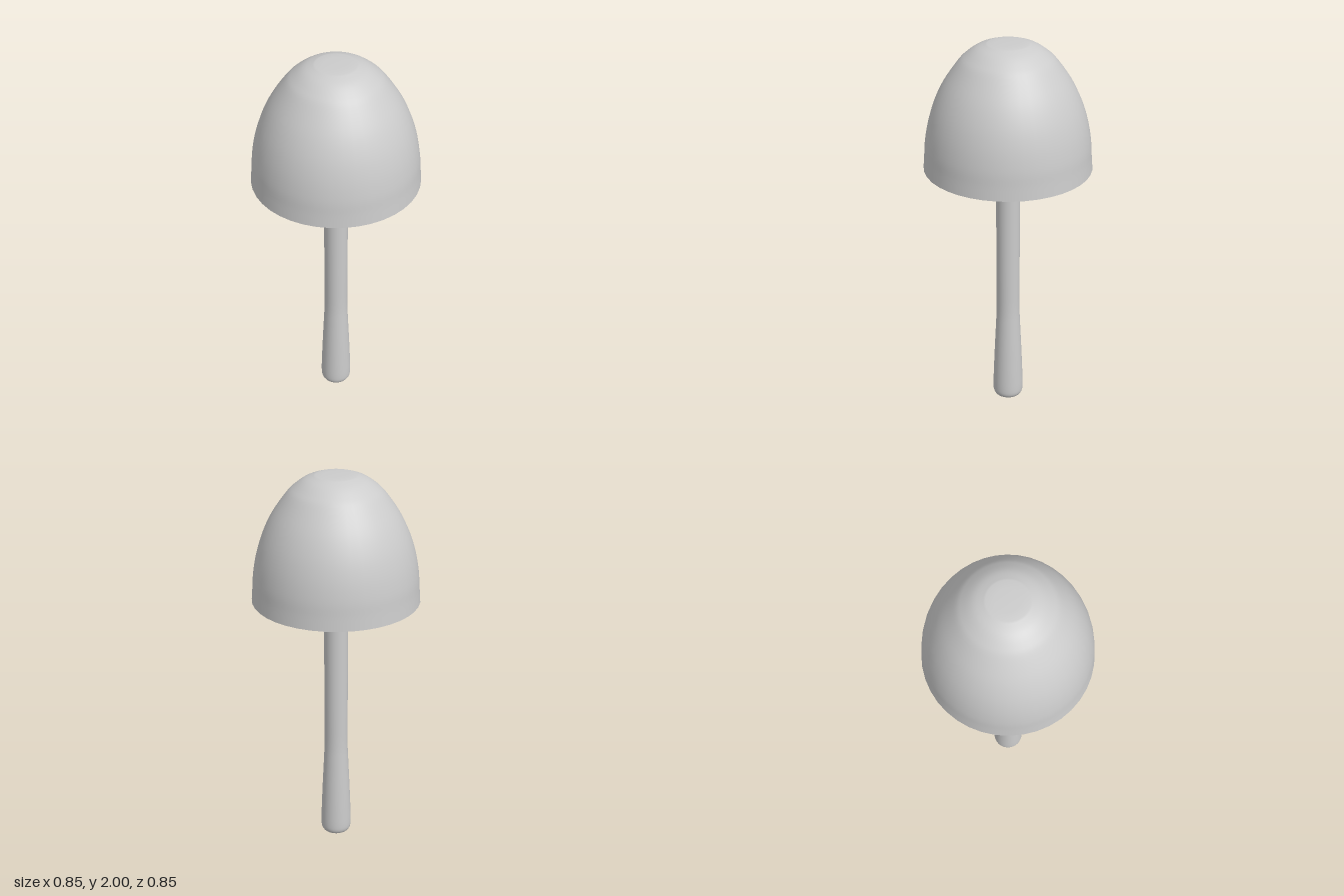
import * as THREE from 'three';

const material = new THREE.MeshStandardMaterial({ color: 0xcccccc, side: THREE.DoubleSide });

// Smooth curve through profile points, listed from bottom to top
function smoothProfile(points, count) {
  const curve = new THREE.SplineCurve(points.map(([r, y]) => new THREE.Vector2(r, y)));
  return curve.getPoints(count);
}

function lathe(name, profile, segments) {
  const mesh = new THREE.Mesh(new THREE.LatheGeometry(profile, segments), material);
  mesh.name = name;
  return mesh;
}

export function createModel() {
  const model = new THREE.Group();
  model.name = 'domedPlunger';

  // Hollow dome: slightly flared rim, full rounded shoulders, flat crown
  const outer = smoothProfile([
    [0.424, 1.355], [0.419, 1.42], [0.413, 1.5], [0.395, 1.6], [0.364, 1.7],
    [0.316, 1.8], [0.247, 1.9], [0.205, 1.942], [0.155, 1.977], [0.1, 1.997],
  ], 36);
  outer.push(new THREE.Vector2(0.06, 2), new THREE.Vector2(0, 2));
  model.add(lathe('domeOuter', outer, 40));

  // Thin inner wall meeting the outer one at a fine rim
  const inner = outer.map((p) => new THREE.Vector2(p.x * 0.985, 1.355 + (p.y - 1.355) * 0.99)).reverse();
  model.add(lathe('domeInner', inner, 40));
  model.add(lathe('domeRim', [inner[inner.length - 1].clone(), outer[0].clone()], 40));

  // Round stick with a swelling grip
  const stick = smoothProfile([
    [0.068, 0.004], [0.077, 0.02], [0.08, 0.05], [0.078, 0.13], [0.072, 0.28],
    [0.065, 0.43], [0.061, 0.54], [0.061, 0.75], [0.061, 1.3], [0.061, 1.98],
  ], 45);
  model.add(lathe('stick', stick, 32));

  // Flat end of the grip
  const end = [new THREE.Vector2(0, 0), new THREE.Vector2(0.062, 0), new THREE.Vector2(0.068, 0.004)];
  model.add(lathe('gripEnd', end, 32));

  return model;
}
